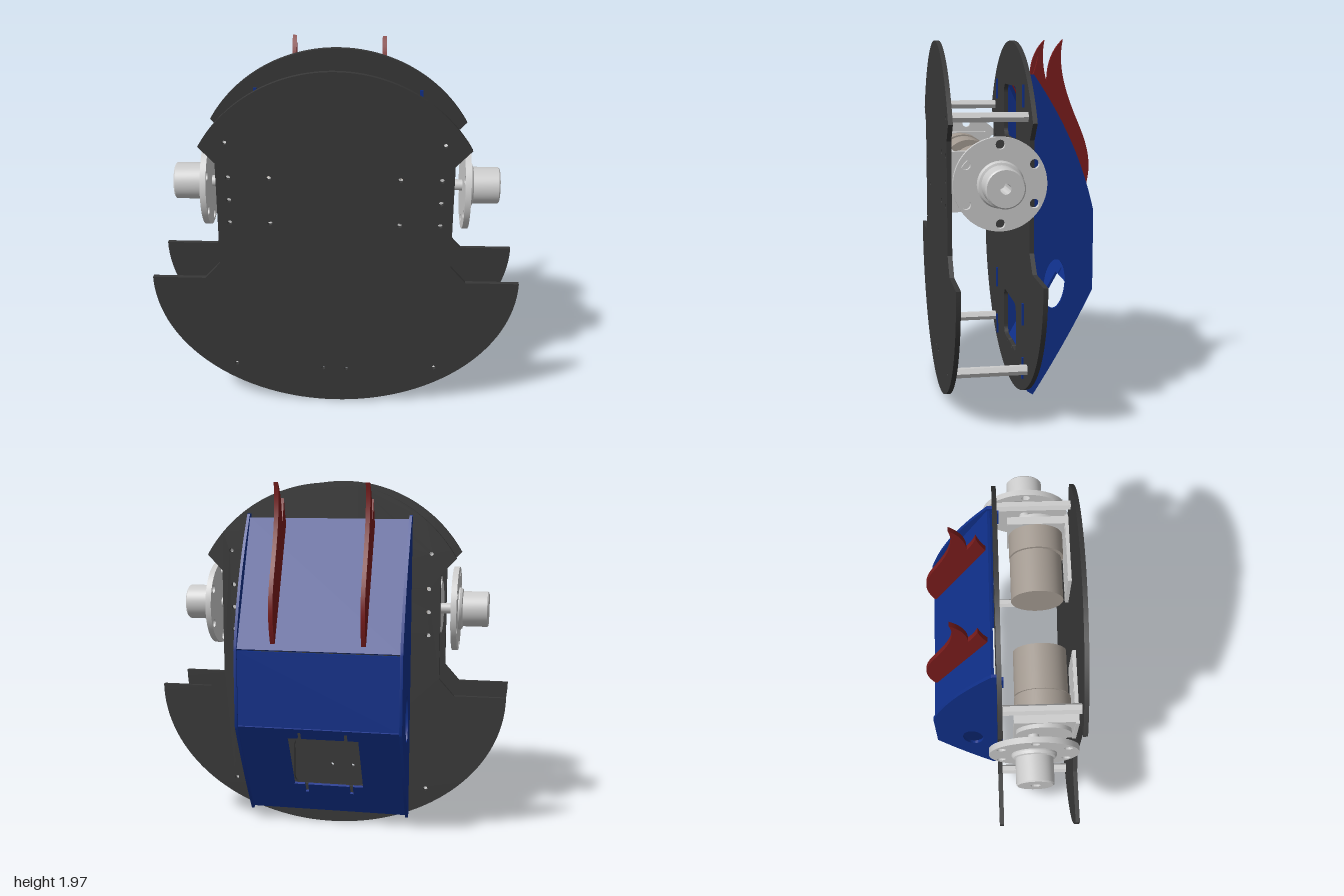
import * as THREE from 'three';
import { toCreasedNormals } from 'three/addons/utils/BufferGeometryUtils.js';

const material = (color) => new THREE.MeshStandardMaterial({ color, side: THREE.DoubleSide });
const PLATE = material(0x383838), BLUE = material(0x10308a), RED = material(0x7a1c1c);
const METAL = material(0xcccccc), MOTOR = material(0xa39a91);

function add(parent, name, geometry, mat, x = 0, y = 0, z = 0) {
  const mesh = new THREE.Mesh(geometry, mat);
  mesh.name = name;
  mesh.position.set(x, y, z);
  parent.add(mesh);
  return mesh;
}

const extrude = (shape, depth) => toCreasedNormals(
  new THREE.ExtrudeGeometry(shape, { depth, bevelEnabled: false, curveSegments: 32 }), 0.5);

const polygon = (points) => new THREE.Shape(points.map(([x, y]) => new THREE.Vector2(x, y)));

function circle(x, y, r) {
  const p = new THREE.Path();
  p.absarc(x, y, r, 0, Math.PI * 2, true);
  return p;
}

function roundedHole(x0, y0, x1, y1, r) {
  const p = new THREE.Path();
  p.absarc(x0 + r, y0 + r, r, Math.PI, Math.PI * 1.5);
  p.absarc(x1 - r, y0 + r, r, -Math.PI / 2, 0);
  p.absarc(x1 - r, y1 - r, r, 0, Math.PI / 2);
  p.absarc(x0 + r, y1 - r, r, Math.PI / 2, Math.PI);
  p.closePath();
  return p;
}

// Cylinder lying along x, from x0 to x1
function rod(parent, name, r, x0, x1, z, mat) {
  const g = new THREE.CylinderGeometry(r, r, x1 - x0, 48).rotateZ(Math.PI / 2);
  return add(parent, name, g, mat, (x0 + x1) / 2, 0, z);
}

// Chassis outline: domed top, wheel notches, half-elliptical bottom
function chassisShape() {
  const s = new THREE.Shape();
  s.absellipse(0, 0.785, 1, 0.785, Math.PI, Math.PI * 2, false, 0);
  for (const [x, y] of [[0.71, 0.785], [0.625, 0.88], [0.625, 1.465], [0.71, 1.555]]) s.lineTo(x, y);
  const r = 0.82, a = Math.asin(0.71 / r);
  s.absarc(0, 1.965 - r, r, Math.PI / 2 - a, Math.PI / 2 + a, false);
  for (const [x, y] of [[-0.71, 1.555], [-0.625, 1.465], [-0.625, 0.88], [-0.71, 0.785]]) s.lineTo(x, y);
  s.closePath();
  const holes = [[0.57, 1.58, 0.012], [0.56, 1.385, 0.013], [0.56, 1.255, 0.013], [0.56, 1.125, 0.013],
    [0.345, 1.385, 0.013], [0.345, 1.125, 0.013], [0.56, 0.235, 0.012], [0.065, 0.215, 0.01]];
  for (const [x, y, r] of holes) s.holes.push(circle(x, y, r), circle(-x, y, r));
  return s;
}

// Flat shell panel between a lower and an upper (z, y) edge, thickened inwards
function panel(parent, name, [z0, y0], [z1, y1], hole) {
  const w = 0.45, len = Math.hypot(z1 - z0, y1 - y0);
  const s = polygon([[-w, 0], [w, 0], [w, len], [-w, len]]);
  if (hole) s.holes.push(hole);
  const mesh = add(parent, name, extrude(s, 0.015), BLUE, 0, y0, z0);
  mesh.rotation.x = Math.atan2(z1 - z0, y1 - y0);
}

// Side outline drawn as (-z, y), thickened along x and centred on x
function sidePart(parent, name, shape, thickness, x, mat) {
  const g = extrude(shape, thickness).translate(0, 0, -thickness / 2).rotateY(Math.PI / 2);
  return add(parent, name, g, mat, x);
}

function createDrive() {
  const drive = new THREE.Group();
  rod(drive, 'motorCan', 0.145, 0.15, 0.4, 0.205, MOTOR);
  rod(drive, 'motorNeck', 0.135, 0.395, 0.415, 0.205, MOTOR);
  rod(drive, 'gearbox', 0.152, 0.41, 0.55, 0.21, MOTOR);
  rod(drive, 'gearboxFace', 0.148, 0.59, 0.615, 0.21, METAL);
  rod(drive, 'shaft', 0.03, 0.6, 0.69, 0.155, METAL);

  // L-shaped bracket: face across the gearbox, perforated foot on the front plate
  add(drive, 'bracketFace', new THREE.BoxGeometry(0.045, 0.31, 0.34), METAL, 0.57, 0, 0.22);
  const foot = polygon([[0.2, -0.155], [0.6, -0.155], [0.6, 0.155], [0.2, 0.155]]);
  for (let i = 0; i < 6; i++)
    for (const y of [-0.13, 0.13]) foot.holes.push(circle(0.235 + i * 0.06, y, 0.014));
  add(drive, 'bracketFoot', extrude(foot, 0.02), METAL, 0, 0, 0.37);

  // Wheel flange with six bolt holes
  const flange = new THREE.Shape();
  flange.absarc(0, 0, 0.238, 0, Math.PI * 2);
  flange.holes.push(circle(0, 0, 0.027));
  for (let i = 0; i < 6; i++) {
    const a = Math.PI / 6 + i * Math.PI / 3;
    flange.holes.push(circle(0.2 * Math.cos(a), 0.2 * Math.sin(a), 0.024));
  }
  add(drive, 'wheelFlange', extrude(flange, 0.032).rotateY(Math.PI / 2), METAL, 0.685, 0, 0.155);

  // Hub with a shoulder ring and a bore
  const profile = [[0.027, 0.7], [0.12, 0.7], [0.12, 0.725], [0.112, 0.738], [0.1, 0.742],
    [0.1, 0.878], [0.093, 0.885], [0.027, 0.885], [0.027, 0.7]];
  const hub = new THREE.LatheGeometry(profile.map(([r, h]) => new THREE.Vector2(r, h)), 48);
  add(drive, 'wheelHub', toCreasedNormals(hub.rotateZ(-Math.PI / 2), 0.5), METAL, 0, 0, 0.155);
  return drive;
}

function createShell() {
  const shell = new THREE.Group();
  shell.name = 'rearShell';

  // Back panels; the lowest has a window with slits at its corners
  const window = new THREE.Path([[-0.22, 0.21], [-0.16, 0.21], [-0.16, 0.15], [-0.14, 0.15], [-0.14, 0.21],
    [0.1, 0.21], [0.1, 0.15], [0.12, 0.15], [0.12, 0.21], [0.18, 0.21], [0.18, 0.575],
    [0.12, 0.575], [0.12, 0.62], [0.1, 0.62], [0.1, 0.575], [-0.14, 0.575], [-0.14, 0.62],
    [-0.16, 0.62], [-0.16, 0.575], [-0.22, 0.575]].map(([x, y]) => new THREE.Vector2(x, y)));
  panel(shell, 'lowerPanel', [-0.06, 0.075], [-0.375, 0.64], window);
  panel(shell, 'middlePanel', [-0.375, 0.645], [-0.375, 1.065]);
  panel(shell, 'upperPanel', [-0.375, 1.075], [-0.06, 1.77]);

  // Side walls with bowed edges and an oval hole
  const wall = new THREE.Shape();
  wall.moveTo(0.03, 0.08);
  wall.lineTo(0.06, 0.06);
  wall.quadraticCurveTo(0.25, 0.36, 0.385, 0.64);
  wall.lineTo(0.385, 1.07);
  wall.quadraticCurveTo(0.3, 1.45, 0.06, 1.79);
  wall.lineTo(0.03, 1.79);
  wall.closePath();
  const oval = new THREE.Path();
  oval.absellipse(0.176, 0.675, 0.058, 0.135, 0, Math.PI * 2, true, -0.08);
  wall.holes.push(oval);

  // Flames standing on the upper panel
  const flame = new THREE.Shape();
  flame.moveTo(0.06, 1.72);
  flame.quadraticCurveTo(0.105, 1.79, 0.12, 1.88);
  flame.quadraticCurveTo(0.14, 1.8, 0.17, 1.75);
  flame.quadraticCurveTo(0.17, 1.89, 0.255, 1.97);
  flame.bezierCurveTo(0.225, 1.83, 0.27, 1.69, 0.345, 1.52);
  flame.bezierCurveTo(0.41, 1.37, 0.43, 1.27, 0.37, 1.11);
  flame.lineTo(0.345, 1.11);
  flame.closePath();

  for (const side of [-1, 1]) {
    sidePart(shell, 'sideWall', wall, 0.016, side * 0.457, BLUE);
    sidePart(shell, 'flame', flame, 0.024, side * 0.25, RED);
    for (const y of [0.21, 0.51, 1.68])
      add(shell, 'mountingTab', new THREE.BoxGeometry(0.018, 0.12, 0.04), BLUE, side * 0.455, y, -0.02);
  }
  return shell;
}

export function createModel() {
  const model = new THREE.Group();

  // Two chassis plates; the rear one has two openings
  add(model, 'frontPlate', extrude(chassisShape(), 0.024), PLATE, 0, 0, 0.39);
  const rear = chassisShape();
  rear.holes.push(roundedHole(-0.21, 0.22, 0.21, 0.5, 0.05), roundedHole(-0.21, 1.42, 0.21, 1.72, 0.05));
  add(model, 'rearPlate', extrude(rear, 0.024), PLATE, 0, 0, -0.034);

  // Hollow hexagonal standoffs between the plates
  const hex = polygon(Array.from({ length: 6 }, (_, i) =>
    [0.028 * Math.cos(i * Math.PI / 3), 0.028 * Math.sin(i * Math.PI / 3)]));
  hex.holes.push(circle(0, 0, 0.012));
  const standoff = extrude(hex, 0.4);
  for (const side of [-1, 1])
    for (const [x, y] of [[0.57, 1.58], [0.56, 0.235]])
      add(model, 'standoff', standoff, METAL, side * x, y, -0.01);

  // Drive units; the second is turned half round about z
  for (const [name, turn] of [['leftDrive', 0], ['rightDrive', Math.PI]]) {
    const drive = createDrive();
    drive.name = name;
    drive.position.y = 1.255;
    drive.rotation.z = turn;
    model.add(drive);
  }

  model.add(createShell());
  return model;
}
